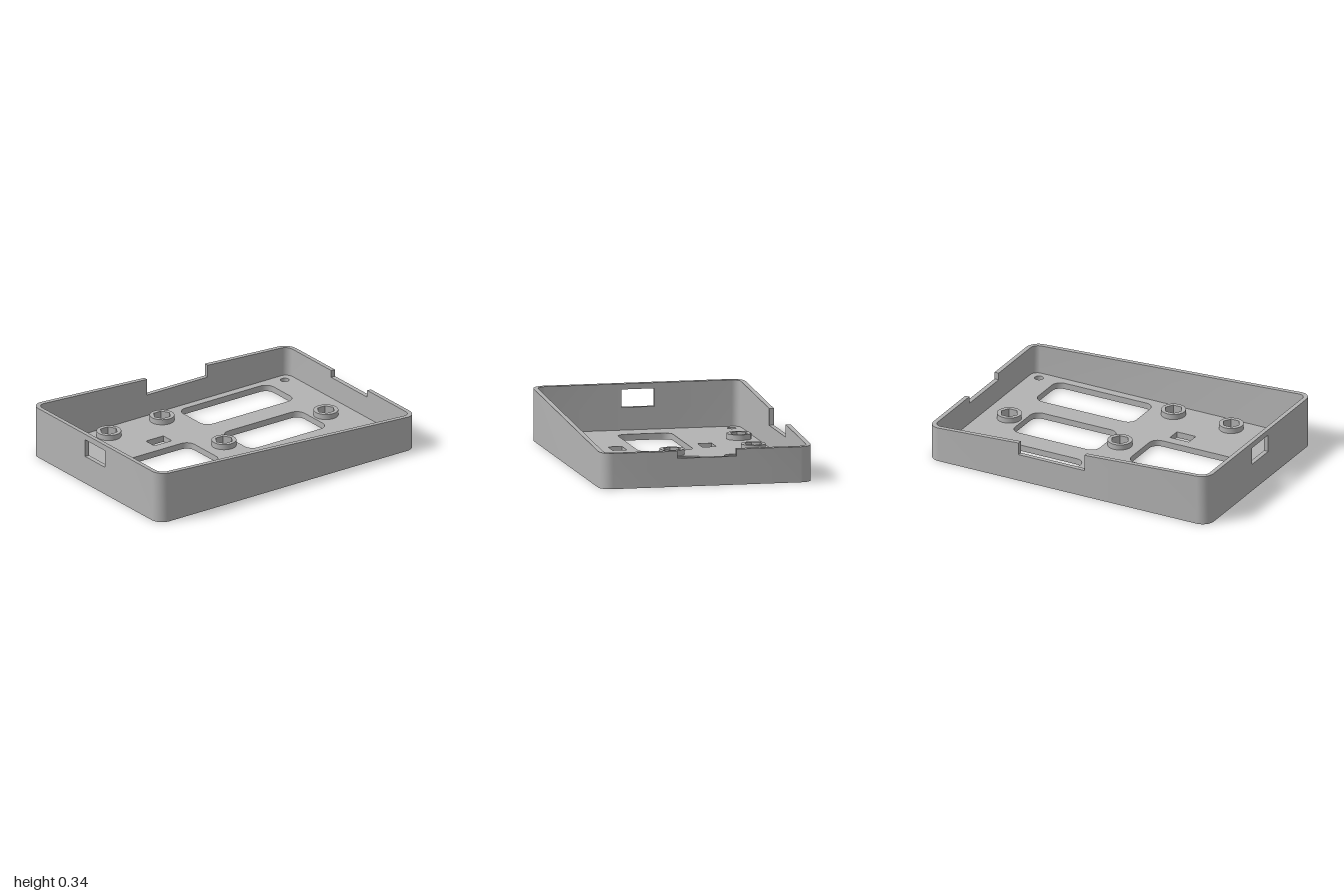
import * as THREE from 'three';
import { toCreasedNormals } from 'three/addons/utils/BufferGeometryUtils.js';

const FLOOR = 0.04, BOSS_TOP = 0.075, RECESS = 0.02, NOTCH = 0.18;
const slope = ([x]) => 0.28 - 0.055 * x; // sloping rim height

// Plan outlines as [x, z] points
function roundedRect(x0, x1, z0, z1, r, n) {
  const centres = [[x1 - r, z1 - r], [x0 + r, z1 - r], [x0 + r, z0 + r], [x1 - r, z0 + r]];
  return centres.flatMap(([cx, cz], c) => Array.from({ length: n + 1 }, (_, i) => {
    const t = (c + (n ? i / n : 0)) * Math.PI / 2;
    return [cx + r * Math.cos(t), cz + r * Math.sin(t)];
  }));
}
function ring(cx, cz, r, n) {
  return Array.from({ length: n }, (_, i) => {
    const t = i / n * Math.PI * 2;
    return [cx + r * Math.cos(t), cz + r * Math.sin(t)];
  });
}

// Collects faces for one mesh
class Faces {
  constructor() { this.pos = []; }
  tri(a, b, c) { this.pos.push(...a, ...b, ...c); }
  quad(a, b, c, d, flip = false) {
    if (flip) [b, d] = [d, b];
    this.tri(a, b, c);
    this.tri(a, c, d);
  }
  // Horizontal face with holes
  flat(outline, holes, y, up) {
    const v2 = (l) => l.map(([x, z]) => new THREE.Vector2(x, z));
    const all = [outline, ...holes].flat();
    for (const f of THREE.ShapeUtils.triangulateShape(v2(outline), holes.map(v2))) {
      const [a, b, c] = f.map((i) => all[i]);
      const turn = (b[0] - a[0]) * (c[1] - a[1]) - (b[1] - a[1]) * (c[0] - a[0]);
      const [p, q, r] = [a, b, c].map(([x, z]) => [x, y, z]);
      if ((turn < 0) === up) this.tri(p, q, r); else this.tri(p, r, q);
    }
  }
  // Vertical strip between two plan points
  strip(a, b, a0, a1, b0, b1, flip) {
    this.quad([a[0], a0, a[1]], [a[0], a1, a[1]], [b[0], b1, b[1]], [b[0], b0, b[1]], flip);
  }
  // Vertical band round a closed outline
  band(loop, y0, y1, inward = false) {
    loop.forEach((a, i) => this.strip(a, loop[(i + 1) % loop.length], y0, y1, y0, y1, inward));
  }
  mesh(name, material) {
    const g = new THREE.BufferGeometry();
    g.setAttribute('position', new THREE.Float32BufferAttribute(this.pos, 3));
    const m = new THREE.Mesh(toCreasedNormals(g, Math.PI / 6), material);
    m.name = name;
    return m;
  }
}

export function createModel() {
  const grey = new THREE.MeshStandardMaterial({ color: 0xb3b3b3 });
  grey.name = 'grey plastic';
  const group = new THREE.Group();
  group.name = 'sloped case base';

  const n = 8, k = n + 1;
  const outer = roundedRect(-1, 1, -0.68, 0.68, 0.08, n);
  const inner = roundedRect(-0.97, 0.97, -0.65, 0.65, 0.05, n);

  // Floor openings, screw holes and nut boss positions
  const openings = [
    roundedRect(0.08, 0.78, -0.6, -0.305, 0.06, 6),
    roundedRect(0.08, 0.78, 0.3, 0.595, 0.06, 6),
    roundedRect(0.09, 0.695, -0.157, 0.157, 0.06, 6),
    roundedRect(-0.81, -0.145, -0.175, 0.175, 0.06, 6),
    roundedRect(-0.36, -0.225, -0.335, -0.245, 0, 0),
    roundedRect(-0.36, -0.225, 0.24, 0.33, 0, 0),
  ];
  for (const x of [-0.9, 0.9]) for (const z of [-0.585, 0.585]) openings.push(ring(x, z, 0.028, 20));
  const bosses = [[-0.497, -0.54], [-0.085, -0.54], [-0.497, 0.54], [-0.085, 0.54], [0, 0], [0.79, 0]];
  const bores = bosses.map(([x, z]) => ring(x, z, 0.028, 20));
  const rims = bosses.map(([x, z]) => ring(x, z, 0.078, 32));

  // Floor plate
  const floor = new Faces();
  floor.flat(outer, [...openings, ...bores], 0, false);
  floor.flat(inner, [...openings, ...rims], FLOOR, true);
  openings.forEach((o) => floor.band(o, 0, FLOOR, true));
  group.add(floor.mesh('floor', grey));

  // Raised bosses with hexagonal nut recesses
  bosses.forEach(([x, z], i) => {
    const boss = new Faces();
    const hex = ring(x, z, 0.057, 6);
    boss.band(rims[i], FLOOR, BOSS_TOP);
    boss.flat(rims[i], [hex], BOSS_TOP, true);
    boss.band(hex, RECESS, BOSS_TOP, true);
    boss.flat(hex, [bores[i]], RECESS, true);
    boss.band(bores[i], 0, RECESS, true);
    group.add(boss.mesh('nutBoss', grey));
  });

  // Side walls, with extra stations at the window and the two notches
  const stations = (p, x, z) => [
    ...p.slice(0, 2 * k), [-x, 0.105], [-x, -0.105],
    ...p.slice(2 * k, 3 * k), [-0.12, -z], [0.35, -z],
    ...p.slice(3 * k), [x, -0.19], [x, 0.19],
  ];
  const out = stations(outer, 1, 0.68), inn = stations(inner, 0.97, 0.65);
  const cuts = { [2 * k]: [0.184, 0.298], [3 * k + 2]: [NOTCH, null], [4 * k + 4]: [NOTCH, null] };
  const walls = new Faces();
  out.forEach((oa, i) => {
    const j = (i + 1) % out.length;
    const ia = inn[i], ob = out[j], ib = inn[j];
    const level = (y) => () => y;
    const ledge = (h, flip) => walls.quad([oa[0], h(oa), oa[1]], [ia[0], h(ia), ia[1]],
      [ib[0], h(ib), ib[1]], [ob[0], h(ob), ob[1]], flip);
    const span = (lo, loIn, hi) => {
      walls.strip(oa, ob, lo, hi(oa), lo, hi(ob), false);
      walls.strip(ia, ib, loIn, hi(ia), loIn, hi(ib), true);
      ledge(hi, false);
    };
    const cut = cuts[i];
    if (!cut) return span(0, FLOOR, slope);
    const [lo, hi] = cut;
    span(0, FLOOR, level(lo));
    if (hi) {
      span(hi, hi, slope);
      ledge(level(hi), true);
    }
    // Cheeks of the cut
    walls.strip(oa, ia, lo, hi ?? slope(oa), lo, hi ?? slope(ia), false);
    walls.strip(ob, ib, lo, hi ?? slope(ob), lo, hi ?? slope(ib), true);
  });
  group.add(walls.mesh('sideWalls', grey));

  return group;
}
